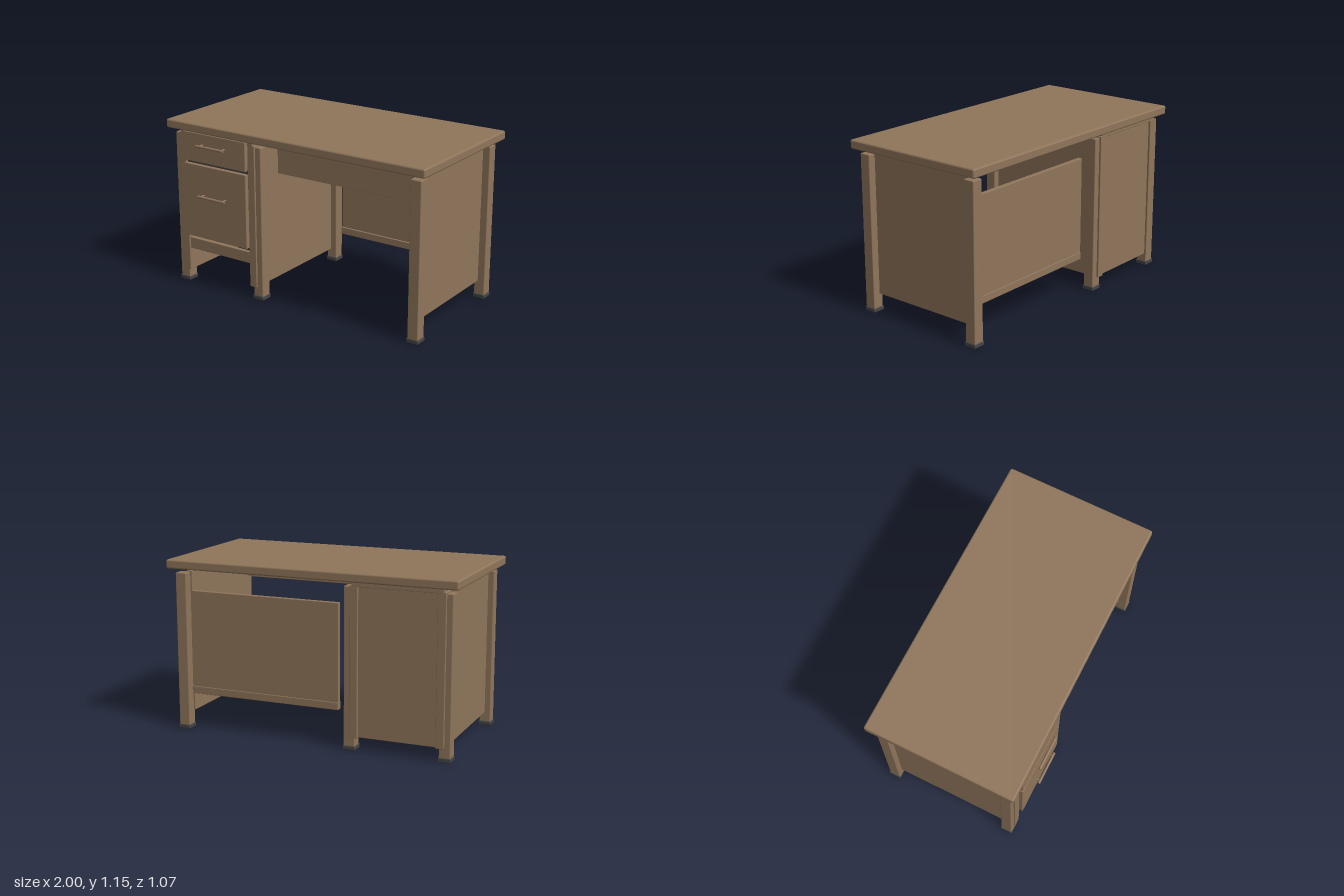
import * as THREE from 'three';
import { RoundedBoxGeometry } from 'three/addons/geometries/RoundedBoxGeometry.js';

export function createModel() {
  const desk = new THREE.Group();
  desk.name = 'desk';
  const wood = new THREE.MeshStandardMaterial({ color: 0x8f755b });
  wood.name = 'brown wood';
  const rubber = new THREE.MeshStandardMaterial({ color: 0x444444 });
  rubber.name = 'dark grey rubber';

  // Softly rounded box given by its extents on each axis
  function box(name, [x0, x1], [y0, y1], [z0, z1], material = wood, radius = 0.006, parent = desk) {
    const geometry = new RoundedBoxGeometry(x1 - x0, y1 - y0, z1 - z0, 2, radius);
    const mesh = new THREE.Mesh(geometry, material);
    mesh.position.set((x0 + x1) / 2, (y0 + y1) / 2, (z0 + z1) / 2);
    mesh.name = name;
    parent.add(mesh);
    return mesh;
  }

  box('tabletop', [-1, 1], [1.09, 1.15], [-0.535, 0.49], wood, 0.012);

  // Six legs with dark feet
  for (const x of [-0.917, -0.28, 0.917]) {
    for (const z of [0.411, -0.453]) {
      box('leg', [x - 0.038, x + 0.038], [0.02, 1.06], [z - 0.038, z + 0.038]);
      box('foot', [x - 0.043, x + 0.043], [0, 0.028], [z - 0.043, z + 0.043], rubber);
    }
  }

  // End panel on the open side
  box('endPanel', [0.865, 0.905], [0.117, 1.07], [-0.43, 0.39]);

  // Kneehole apron and back modesty panel
  box('apron', [-0.14, 0.88], [0.9, 1.07], [0.37, 0.4], wood, 0.003);
  box('modestyPanel', [-0.18, 0.88], [0.24, 0.935], [-0.43, -0.4], wood, 0.004);
  box('modestyRail', [-0.18, 0.88], [0.235, 0.285], [-0.434, -0.388], wood, 0.004);

  // Drawer cabinet, open underneath
  const cabinet = new THREE.Group();
  cabinet.name = 'drawerCabinet';
  desk.add(cabinet);
  const part = (name, x, y, z, material = wood, radius = 0.004) =>
    box(name, x, y, z, material, radius, cabinet);
  part('cabinetSide', [-0.915, -0.86], [0.087, 1.07], [-0.505, 0.46]);
  part('cabinetSide', [-0.34, -0.285], [0.087, 1.07], [-0.505, 0.46]);
  part('cabinetTop', [-0.9, -0.3], [1.06, 1.092], [-0.505, 0.46]);
  part('cabinetBack', [-0.87, -0.33], [0.09, 1.07], [-0.49, -0.465]);
  part('kickRail', [-0.865, -0.335], [0.245, 0.325], [0.42, 0.45]);
  part('drawerGap', [-0.86, -0.34], [0.86, 0.9], [0.42, 0.45], rubber);

  // Drawers, each with a body, a front and a bar handle
  for (const [y0, y1, handleY] of [[0.89, 1.09, 1.015], [0.357, 0.87, 0.665]]) {
    const drawer = new THREE.Group();
    drawer.name = 'drawer';
    cabinet.add(drawer);
    box('drawerBody', [-0.85, -0.35], [y0 + 0.015, y1 - 0.04], [-0.4, 0.465], wood, 0.003, drawer);
    box('drawerFront', [-0.86, -0.34], [y0, y1], [0.455, 0.486], wood, 0.005, drawer);

    const bar = new THREE.Mesh(new THREE.CylinderGeometry(0.009, 0.009, 0.226, 16), wood);
    bar.rotation.z = Math.PI / 2;
    bar.position.set(-0.602, handleY, 0.527);
    bar.name = 'handleBar';
    drawer.add(bar);
    for (const side of [-1, 1]) {
      const post = new THREE.Mesh(new THREE.CylinderGeometry(0.006, 0.006, 0.045, 12), wood);
      post.rotation.x = Math.PI / 2;
      post.position.set(-0.602 + side * 0.092, handleY, 0.505);
      post.name = 'handlePost';
      drawer.add(post);
    }
  }
  return desk;
}
